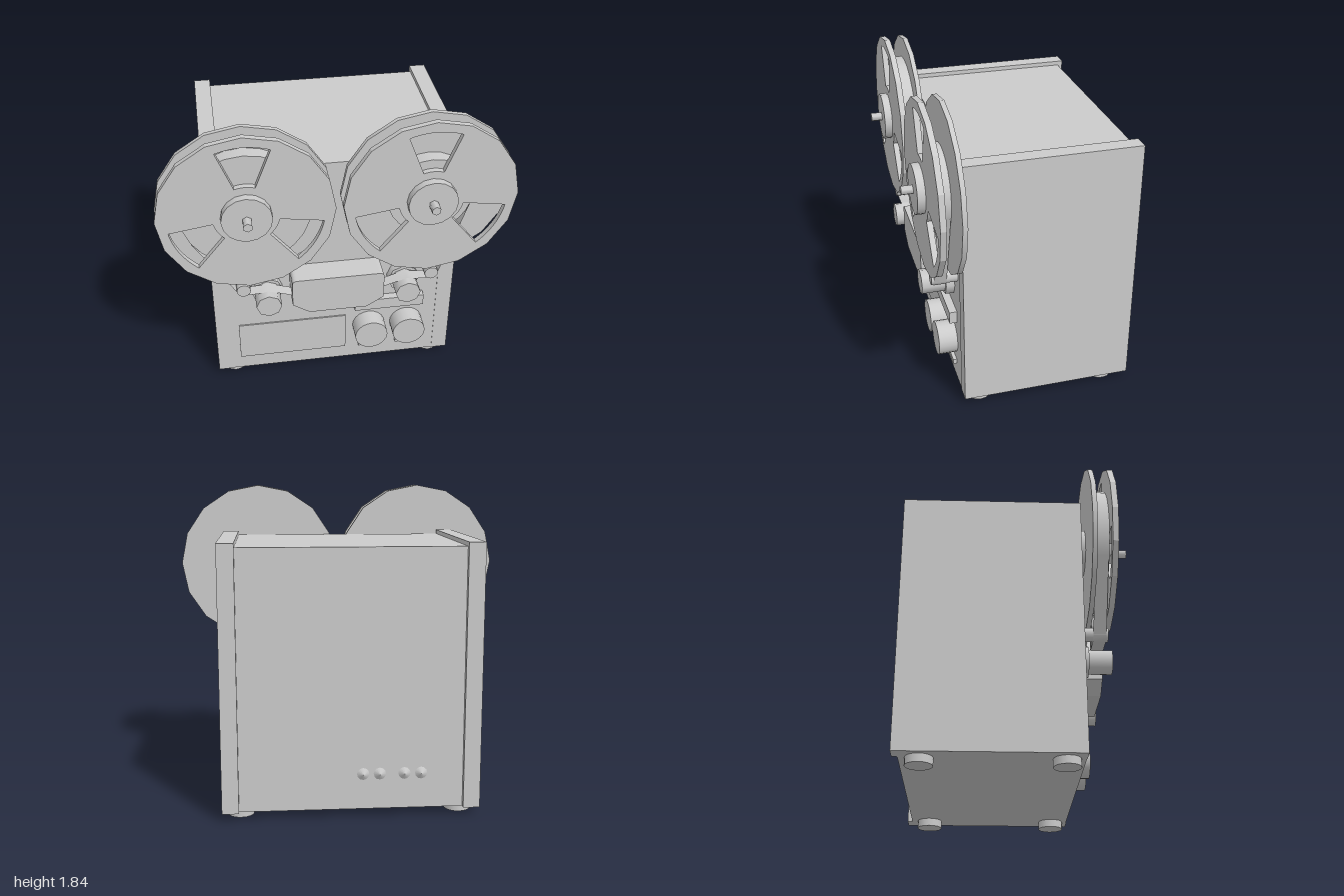
import * as THREE from 'three';

const material = new THREE.MeshStandardMaterial({ color: 0xcccccc });
const thin = new THREE.MeshStandardMaterial({ color: 0xcccccc, side: THREE.DoubleSide });
const FRONT = 0.36; // z of the front face

function add(parent, name, geometry, mat = material) {
  const mesh = new THREE.Mesh(geometry, mat);
  mesh.name = name;
  parent.add(mesh);
  return mesh;
}

// Box given by its limits on each axis
function box(parent, name, x0, x1, y0, y1, z0, z1) {
  const mesh = add(parent, name, new THREE.BoxGeometry(x1 - x0, y1 - y0, z1 - z0));
  mesh.position.set((x0 + x1) / 2, (y0 + y1) / 2, (z0 + z1) / 2);
  return mesh;
}

// Cylinder along z, from z0 to z1
function disc(parent, name, x, y, z0, z1, radius, sides, frontRadius = radius) {
  const geometry = new THREE.CylinderGeometry(frontRadius, radius, z1 - z0, sides);
  geometry.rotateX(Math.PI / 2);
  const mesh = add(parent, name, geometry);
  mesh.position.set(x, y, (z0 + z1) / 2);
  return mesh;
}

function extrude(shape, depth) {
  return new THREE.ExtrudeGeometry(shape, { depth, bevelEnabled: false, curveSegments: 8 });
}

// Sixteen-sided flange with three fan-shaped windows
function flangeShape(radius) {
  const points = [];
  for (let i = 0; i < 16; i++) {
    const a = (i / 16) * Math.PI * 2;
    points.push(new THREE.Vector2(Math.cos(a) * radius, Math.sin(a) * radius));
  }
  const shape = new THREE.Shape(points);
  for (let i = 0; i < 3; i++) {
    const middle = Math.PI / 2 + (i * Math.PI * 2) / 3;
    const half = 0.345;
    const hole = new THREE.Path();
    hole.absarc(0, 0, 0.43, middle - half, middle + half, false);
    hole.absarc(0, 0, 0.185, middle + half * 0.9, middle - half * 0.9, true);
    hole.closePath();
    shape.holes.push(hole);
  }
  return shape;
}

function makeReel(name, x, tapeRadius) {
  const reel = new THREE.Group();
  reel.name = name;
  reel.position.set(x, 1.35, 0);
  disc(reel, 'turntable', 0, 0, FRONT, 0.395, 0.135, 16);
  disc(reel, 'rearFlange', 0, 0, 0.395, 0.422, 0.49, 16);
  disc(reel, 'woundTape', 0, 0, 0.422, 0.502, tapeRadius, 24);
  add(reel, 'frontFlange', extrude(flangeShape(0.49), 0.033)).position.z = 0.502;
  disc(reel, 'hubCap', 0, 0, 0.535, 0.58, 0.14, 16);
  disc(reel, 'spindle', 0, 0, 0.58, 0.645, 0.027, 6);
  return reel;
}

// Thin ribbon of tape following points in the xy plane
function ribbon(points) {
  const vertices = [];
  const index = [];
  points.forEach(([x, y], i) => {
    vertices.push(x, y, 0.425, x, y, 0.498);
    if (i) {
      const k = i * 2;
      index.push(k - 2, k - 1, k, k - 1, k + 1, k);
    }
  });
  const geometry = new THREE.BufferGeometry();
  geometry.setAttribute('position', new THREE.Float32BufferAttribute(vertices, 3));
  geometry.setIndex(index);
  geometry.computeVertexNormals();
  return geometry;
}

export function createModel() {
  const model = new THREE.Group();
  model.name = 'reelTapeRecorder';

  // Cabinet
  box(model, 'case', -0.635, 0.635, 0.045, 1.53, -0.615, FRONT);
  for (const side of [-1, 1]) {
    const panel = box(model, 'sidePanel', -0.0475, 0.0475, 0.045, 1.555, -0.645, FRONT + 0.003);
    panel.position.x = side * 0.6825;
    for (const z of [0.26, -0.505]) {
      const foot = add(model, 'foot', new THREE.CylinderGeometry(0.075, 0.075, 0.05, 16));
      foot.position.set(side * 0.625, 0.025, z);
    }
  }

  // Reels
  model.add(makeReel('rightReel', -0.51, 0.36));
  model.add(makeReel('leftReel', 0.51, 0.24));

  // Tape path: guides, rollers and tape on both sides of the head cover
  for (const side of [-1, 1]) {
    disc(model, 'tapeGuide', side * 0.55, 0.8, FRONT, 0.51, 0.04, 16);
    disc(model, 'rollerFlange', side * 0.41, 0.695, FRONT, 0.41, 0.094, 8);
    disc(model, 'roller', side * 0.41, 0.695, 0.41, 0.545, 0.074, 8);
    const start = side > 0 ? [0.74, 1.27] : [-0.82, 1.16];
    const path = [start, [side * 0.59, 0.79], [side * 0.575, 0.765], [side * 0.55, 0.757],
      [side * 0.45, 0.76], [side * 0.41, 0.77], [side * 0.26, 0.72]];
    add(model, 'tape', ribbon(path), thin);
  }

  // Head cover with chamfered lower corners
  const cover = new THREE.Shape();
  cover.moveTo(-0.17, 0.59);
  cover.lineTo(0.17, 0.59);
  cover.lineTo(0.27, 0.655);
  cover.lineTo(0.27, 0.805);
  cover.quadraticCurveTo(0.27, 0.835, 0.24, 0.835);
  cover.lineTo(-0.24, 0.835);
  cover.quadraticCurveTo(-0.27, 0.835, -0.27, 0.805);
  cover.lineTo(-0.27, 0.655);
  cover.closePath();
  add(model, 'headCover', extrude(cover, 0.15)).position.z = FRONT;

  // Front controls
  box(model, 'meterPanel', -0.59, 0.07, 0.14, 0.4, FRONT, 0.368);
  box(model, 'buttonBar', 0.12, 0.545, 0.465, 0.54, FRONT, 0.405);
  for (const x of [0.215, 0.45]) {
    disc(model, 'knob', x, 0.31, FRONT, 0.47, 0.1, 20);
    box(model, 'smallButton', x - 0.063, x + 0.063, 0.145, 0.175, FRONT, 0.382);
  }

  // Rear sockets
  for (const x of [-0.395, -0.3, -0.16, -0.065]) {
    const socket = add(model, 'rearSocket', new THREE.ConeGeometry(0.035, 0.022, 12));
    socket.rotation.x = -Math.PI / 2;
    socket.position.set(x, 0.25, -0.626);
  }
  return model;
}
